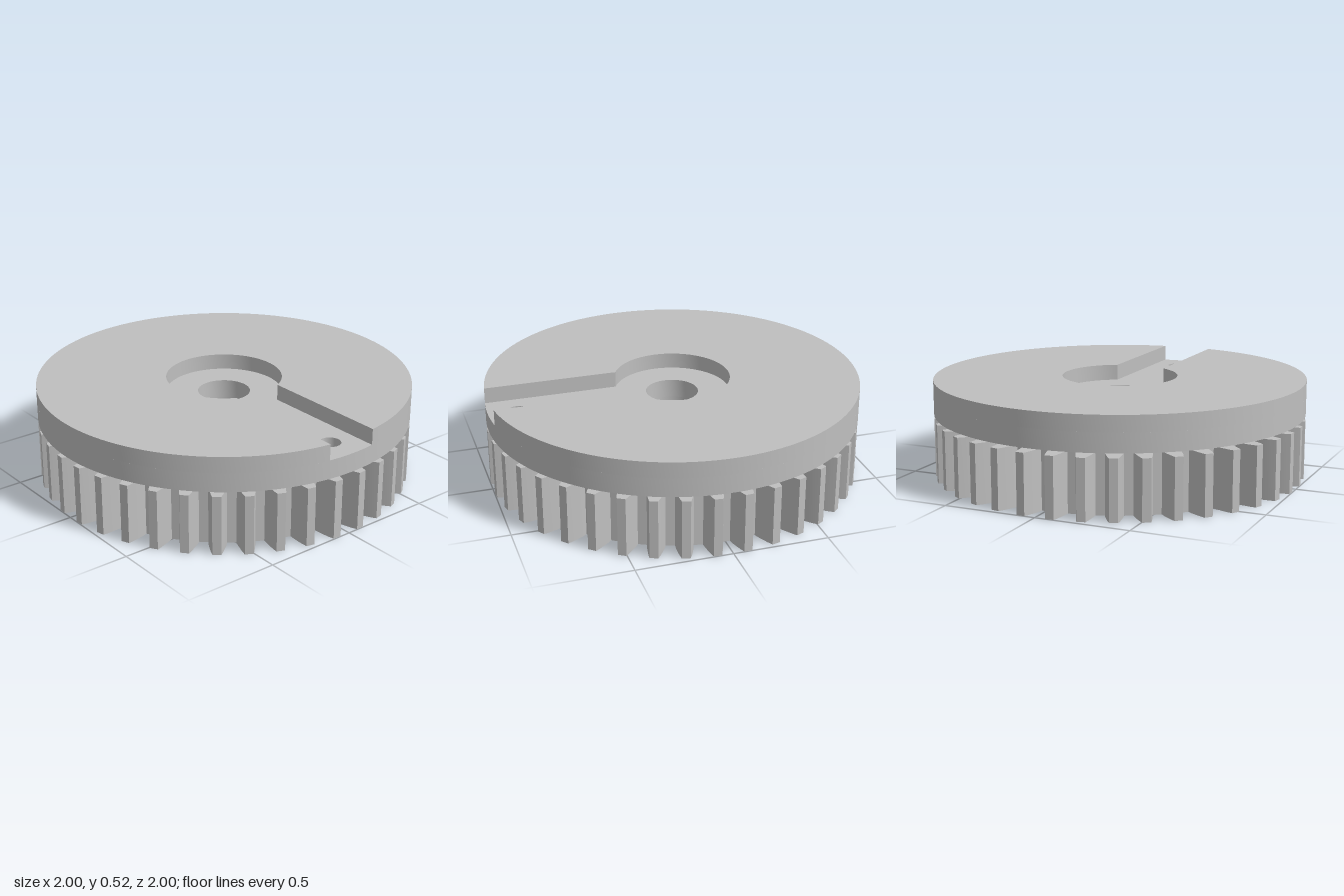
import * as THREE from 'three';
import { toCreasedNormals } from 'three/addons/utils/BufferGeometryUtils.js';

const RAD = Math.PI / 180;
const BORE = 0.14, PIN_X = 0.84, PIN_R = 0.055, ROOT = 0.88;
const TEETH = 40, PITCH = 360 / TEETH;

// Points on an arc, angles in degrees
function arc(cx, r, from, to, n) {
  return Array.from({ length: n + 1 }, (_, i) => {
    const a = (from + (to - from) * i / n) * RAD;
    return new THREE.Vector2(cx + r * Math.cos(a), r * Math.sin(a));
  });
}

const polar = (r, deg) => new THREE.Vector2(r * Math.cos(deg * RAD), r * Math.sin(deg * RAD));
const hole = (cx, r) => new THREE.Path(arc(cx, r, 0, 360, 48).slice(0, -1));

// Vertical slab of an outline between two heights
function slab(name, points, holes, y0, y1, material) {
  const shape = new THREE.Shape(points);
  shape.holes.push(...holes);
  const geometry = new THREE.ExtrudeGeometry(shape, { depth: y1 - y0, bevelEnabled: false });
  geometry.rotateX(-Math.PI / 2).translate(0, y0, 0);
  const mesh = new THREE.Mesh(toCreasedNormals(geometry, 0.35), material);
  mesh.name = name;
  return mesh;
}

// Gear outline; the pin hole breaks out into the tooth gap on +x
function gearOutline() {
  const flank = [[ROOT, 3.0], [0.91, 2.7], [0.94, 2.25], [0.97, 1.8], [1, 1.25]];
  const points = [];
  for (let i = 0; i < TEETH; i++) {
    const centre = (i + 0.5) * PITCH;
    const rise = i === 0 ? flank.slice(1) : flank;
    const fall = i === TEETH - 1 ? flank.slice(1) : flank;
    rise.forEach(([r, h]) => points.push(polar(r, centre - h)));
    [...fall].reverse().forEach(([r, h]) => points.push(polar(r, centre + h)));
  }
  return points.concat(arc(PIN_X, PIN_R, -29, -331, 32));
}

export function createModel() {
  const group = new THREE.Group();
  group.name = 'gearWheel';
  const grey = new THREE.MeshStandardMaterial({ color: 0xbfbfbf });
  grey.name = 'plain grey';

  // Toothed ring
  group.add(slab('gear', gearOutline(), [hole(0, BORE)], 0, 0.315, grey));

  // Narrow neck between gear and disc, notched by the pin hole
  const neck = arc(0, ROOT, 2.435, 357.565, 120)
    .concat(arc(PIN_X, PIN_R, -44.5, -315.5, 32).slice(1, -1));
  group.add(slab('neck', neck, [hole(0, BORE)], 0.315, 0.34, grey));

  // Disc below the slot floor
  const rim = arc(0, 1, 0, 360, 144).slice(0, -1);
  group.add(slab('discBase', rim, [hole(0, BORE), hole(PIN_X, PIN_R)], 0.34, 0.44, grey));

  // Disc top with round pocket and slot running out to +x
  const slotOuter = Math.asin(0.14) / RAD, slotInner = Math.asin(0.14 / 0.31) / RAD;
  const top = arc(0, 1, slotOuter, 360 - slotOuter, 140)
    .concat(arc(0, 0.31, 360 - slotInner, slotInner, 72));
  group.add(slab('slottedDiscTop', top, [], 0.44, 0.525, grey));

  return group;
}
